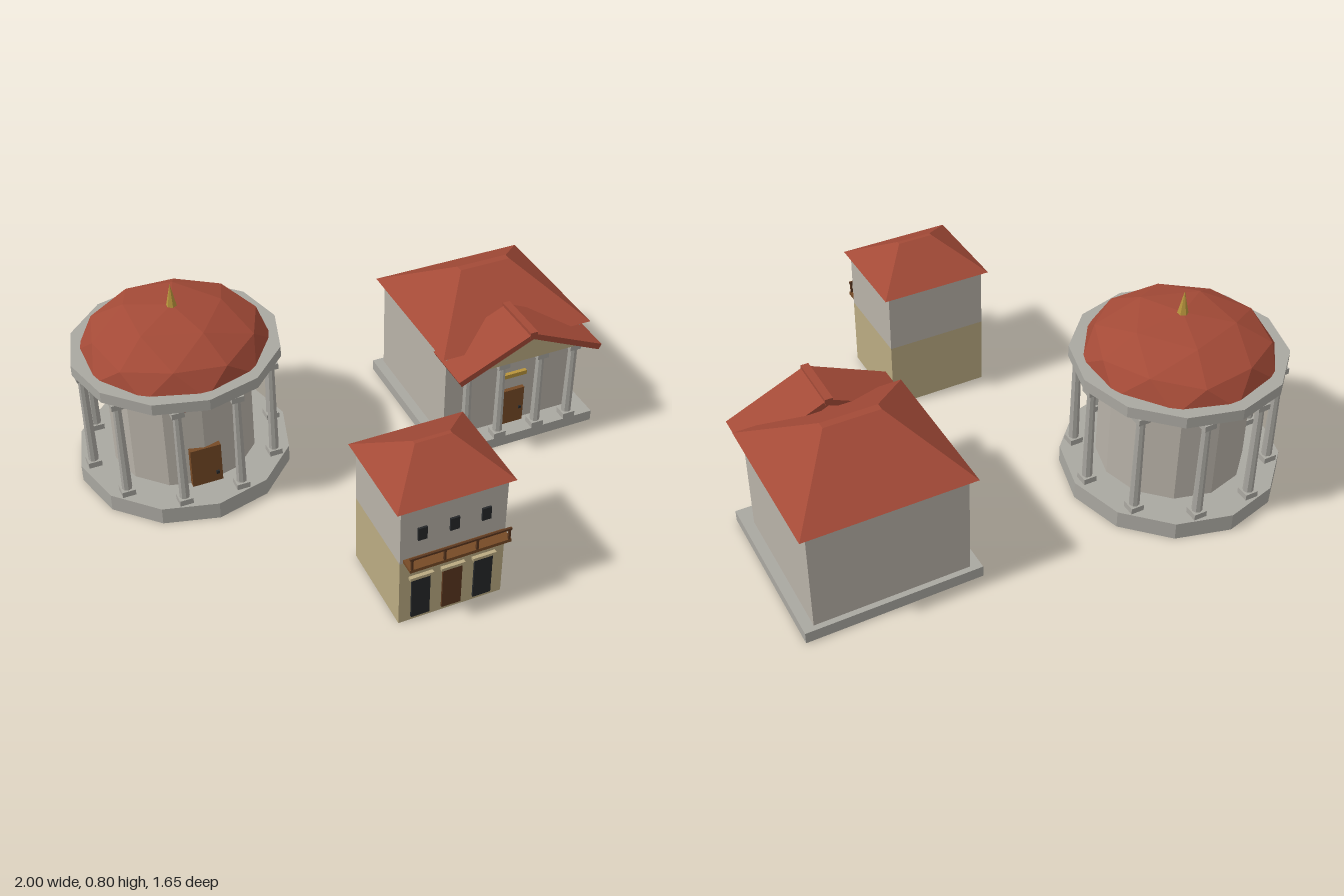
import * as THREE from 'three';

const mat = (name, color) => {
  const m = new THREE.MeshStandardMaterial({ color });
  m.name = name;
  return m;
};

export function createModel() {
  const wall = mat('wall stone', 0xb8b2a8);
  const trim = mat('trim stone', 0xaaa8a1);
  const tan = mat('tan plaster', 0xbbab82);
  const roofRed = mat('roof tile', 0xa34a37);
  const wood = mat('door wood', 0x764a26);
  const darkWood = mat('dark wood', 0x5a371f);
  const dark = mat('dark opening', 0x26282a);
  const gold = mat('gold', 0xb8943c);

  // Faceted copy of a geometry
  const flat = (g) => {
    const f = g.index ? g.toNonIndexed() : g;
    f.computeVertexNormals();
    return f;
  };
  const add = (parent, name, geo, material, x = 0, y = 0, z = 0) => {
    const m = new THREE.Mesh(geo, material);
    m.name = name;
    m.position.set(x, y, z);
    parent.add(m);
    return m;
  };
  // Box given by its extents
  const block = (parent, name, material, x0, x1, y0, y1, z0, z1) =>
    add(parent, name, new THREE.BoxGeometry(x1 - x0, y1 - y0, z1 - z0), material,
      (x0 + x1) / 2, (y0 + y1) / 2, (z0 + z1) / 2);
  const group = (parent, name, x = 0, z = 0) => {
    const g = new THREE.Group();
    g.name = name;
    g.position.set(x, 0, z);
    parent.add(g);
    return g;
  };
  const drum = (r0, r1, h, n) => flat(new THREE.CylinderGeometry(r1, r0, h, n));

  // Hip roof: a box whose top face is pulled in to a narrow ridge
  const hipRoof = (parent, halfX, halfZ, ridgeX, ridgeZ, y0, y1, z) => {
    const h = y1 - y0;
    const g = new THREE.BoxGeometry(halfX * 2, h, halfZ * 2);
    const p = g.attributes.position;
    for (let i = 0; i < p.count; i++) {
      if (p.getY(i) > 0) {
        p.setX(i, Math.sign(p.getX(i)) * ridgeX);
        p.setZ(i, Math.sign(p.getZ(i)) * ridgeZ);
      }
    }
    add(parent, 'hipRoof', flat(g), roofRed, 0, y0 + h / 2, z);
  };

  // Tapered column with square plinth and cap
  const column = (parent, x, z, y0, y1) => {
    const c = group(parent, 'column', x, z);
    block(c, 'plinth', trim, -0.026, 0.026, y0, y0 + 0.024, -0.026, 0.026);
    add(c, 'shaft', drum(0.02, 0.016, y1 - y0 - 0.04, 8), trim, 0, (y0 + y1) / 2, 0);
    block(c, 'capital', trim, -0.024, 0.024, y1 - 0.024, y1, -0.024, 0.024);
  };

  const model = new THREE.Group();
  model.name = 'townBuildings';

  // Domed round temple
  const temple = group(model, 'roundTemple', -0.583, -0.406);
  add(temple, 'base', drum(0.417, 0.417, 0.07, 12), trim, 0, 0.035, 0);
  add(temple, 'drumWall', drum(0.28, 0.28, 0.46, 12), wall, 0, 0.3, 0);
  const profile = [[0.335, 0.505], [0.4, 0.505], [0.4, 0.55], [0.335, 0.55], [0.335, 0.505]];
  const ring = new THREE.LatheGeometry(profile.map(([r, y]) => new THREE.Vector2(r, y)), 12);
  add(temple, 'entablatureRing', flat(ring), trim);
  const dome = new THREE.IcosahedronGeometry(1, 1);
  dome.rotateZ(-Math.atan(2 / (1 + Math.sqrt(5))));
  dome.scale(0.365, 0.18, 0.365);
  add(temple, 'dome', flat(dome), roofRed, 0, 0.53, 0);
  add(temple, 'spire', drum(0.024, 0, 0.11, 6), gold, 0, 0.745, 0);
  for (let i = 0; i < 10; i++) {
    const a = (i * Math.PI) / 5;
    column(temple, 0.366 * Math.cos(a), 0.366 * Math.sin(a), 0.07, 0.505);
  }
  block(temple, 'door', wood, -0.06, 0.06, 0.07, 0.24, 0.25, 0.288);
  block(temple, 'doorKnob', dark, 0.034, 0.046, 0.108, 0.12, 0.288, 0.296);

  // Two-storey town house with balcony
  const house = group(model, 'townHouse', 0, 0.588);
  block(house, 'lowerWall', tan, -0.2, 0.2, 0, 0.283, -0.182, 0.182);
  block(house, 'upperWall', wall, -0.2, 0.2, 0.283, 0.525, -0.182, 0.182);
  hipRoof(house, 0.221, 0.2, 0.07, 0.008, 0.525, 0.635, 0);
  for (const x of [-0.12, 0, 0.12]) {
    block(house, 'upperWindow', dark, x - 0.017, x + 0.017, 0.375, 0.428, 0.182, 0.19);
    const half = x ? 0.035 : 0.037;
    block(house, x ? 'lowerOpening' : 'door', x ? dark : darkWood,
      x - half, x + half, 0.018, 0.2, 0.182, 0.19);
    block(house, 'lintel', tan, x - 0.045, x + 0.045, 0.2, 0.212, 0.182, 0.196);
  }
  const balcony = group(house, 'balcony');
  block(balcony, 'balconyFloor', wood, -0.188, 0.194, 0.287, 0.3, 0.182, 0.238);
  block(balcony, 'handrail', darkWood, -0.188, 0.194, 0.342, 0.35, 0.23, 0.238);
  for (let i = 0; i < 4; i++) {
    const x = -0.18 + i * 0.122;
    block(balcony, 'railPost', darkWood, x - 0.004, x + 0.004, 0.3, 0.342, 0.23, 0.238);
  }

  // Hall with a columned porch
  const hall = group(model, 'porticoHall', 0.66);
  block(hall, 'base', trim, -0.335, 0.335, 0, 0.045, -0.607, 0.066);
  block(hall, 'walls', wall, -0.295, 0.295, 0.045, 0.456, -0.585, -0.02);
  hipRoof(hall, 0.322, 0.308, 0.107, 0.015, 0.456, 0.632, -0.3);
  for (const x of [-0.23, -0.085, 0.085, 0.23]) column(hall, x, 0.04, 0.045, 0.405);

  // Gable and its sloping roof slabs
  const gable = new THREE.Shape([[-0.25, 0.403], [0.25, 0.403], [0, 0.54]]
    .map(([x, y]) => new THREE.Vector2(x, y)));
  add(hall, 'pediment', new THREE.ExtrudeGeometry(gable, { depth: 0.09, bevelEnabled: false }),
    tan, 0, 0, -0.025);
  for (const s of [-1, 1]) {
    const pts = [[0, 0.535], [s * 0.298, 0.4], [s * 0.31, 0.422], [0, 0.56]];
    const slab = new THREE.Shape(pts.map(([x, y]) => new THREE.Vector2(x, y)));
    add(hall, 'porchRoofSlab',
      new THREE.ExtrudeGeometry(slab, { depth: 0.218, bevelEnabled: false }), roofRed, 0, 0, -0.1);
  }
  block(hall, 'ridgeBeam', roofRed, -0.015, 0.015, 0.542, 0.566, -0.105, 0.119);

  // Door and plaque
  block(hall, 'door', wood, -0.052, 0.052, 0.045, 0.208, -0.02, -0.003);
  block(hall, 'doorKnob', dark, 0.03, 0.04, 0.11, 0.12, -0.003, 0.004);
  block(hall, 'plaque', gold, -0.058, 0.058, 0.27, 0.288, -0.02, -0.004);

  return model;
}
